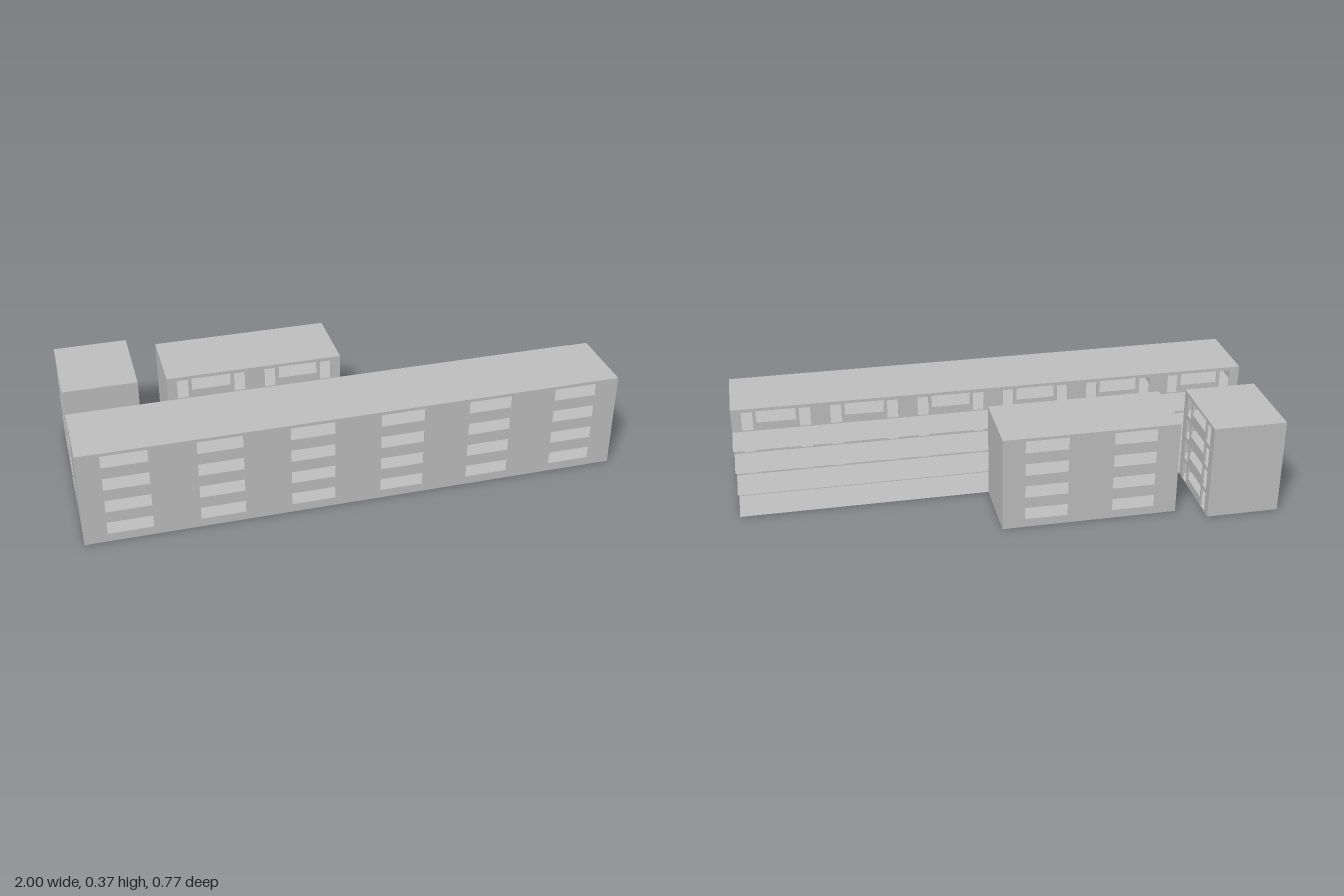
import * as THREE from 'three';

const W = 1 / 3, D = 0.277, H = 0.371, STOREYS = 4, STEP = H / STOREYS, T = 0.006, SLAB = 0.003;

// Rectangular opening, centred on x
function opening(x, width, y0, y1) {
  const p = new THREE.Path();
  p.moveTo(x - width / 2, y0);
  p.lineTo(x - width / 2, y1);
  p.lineTo(x + width / 2, y1);
  p.lineTo(x + width / 2, y0);
  p.closePath();
  return p;
}

// Full-height wall with the same openings on each storey
function facade(openings) {
  const s = new THREE.Shape();
  const top = H - SLAB;
  s.moveTo(-W / 2, 0);
  s.lineTo(W / 2, 0);
  s.lineTo(W / 2, top);
  s.lineTo(-W / 2, top);
  s.closePath();
  for (let f = 0; f < STOREYS; f++) {
    for (const [x, w, y0, y1] of openings) s.holes.push(opening(x, w, f * STEP + y0, f * STEP + y1));
  }
  return new THREE.ExtrudeGeometry(s, { depth: T, bevelEnabled: false });
}

export function createModel() {
  const concrete = new THREE.MeshStandardMaterial({ color: 0xc0c0c0, side: THREE.DoubleSide });
  concrete.name = 'concrete grey';
  const model = new THREE.Group();
  model.name = 'apartmentBuilding';

  const add = (parent, name, geometry, x, y, z) => {
    const m = new THREE.Mesh(geometry, concrete);
    m.name = name;
    m.position.set(x, y, z);
    parent.add(m);
    return m;
  };

  // Shared geometry of one four-storey unit
  const outerWall = facade([[0, 0.164, 0.033, 0.081]]);
  const corridorWall = facade([
    [0, 0.148, 0.033, 0.081],
    [-0.108, 0.042, 0.004, 0.079],
    [0.108, 0.042, 0.004, 0.079],
  ]);
  const sideWall = new THREE.BoxGeometry(T, H - SLAB, D - 2 * T);
  const floor = new THREE.BoxGeometry(W - 2 * T, SLAB, D - 2 * T);
  const roof = new THREE.BoxGeometry(W, SLAB, D);

  // Unit: windows on local +z, doors and windows on local -z
  function unit(name, x, z, turn) {
    const g = new THREE.Group();
    g.name = name;
    add(g, 'outerWall', outerWall, 0, 0, D / 2 - T);
    add(g, 'corridorWall', corridorWall, 0, 0, -D / 2);
    for (const s of [-1, 1]) add(g, 'sideWall', sideWall, s * (W - T) / 2, (H - SLAB) / 2, 0);
    for (let f = 0; f < STOREYS; f++) add(g, 'floor', floor, 0, f * STEP + SLAB / 2, 0);
    add(g, 'roof', roof, 0, H - SLAB / 2, 0);
    g.position.set(x, 0, z);
    g.rotation.y = turn;
    model.add(g);
  }

  // Long front row, rear pair and the end unit turned sideways
  for (let i = 0; i < 6; i++) unit('frontUnit', -1 + W * (i + 0.5), 0.385 - D / 2, 0);
  for (let i = 0; i < 2; i++) unit('rearUnit', -0.617 + W * (i + 0.5), -0.045 - D / 2, Math.PI);
  unit('endUnit', -1 + D / 2, -0.385 + W / 2, -Math.PI / 2);

  // Open gallery decks between the rows
  const zBack = -0.046, zFront = 0.385 - D;
  const deck = new THREE.PlaneGeometry(2, zFront - zBack).rotateX(-Math.PI / 2);
  for (let f = 0; f < STOREYS; f++) add(model, 'galleryDeck', deck, 0, f * STEP, (zFront + zBack) / 2);

  return model;
}
